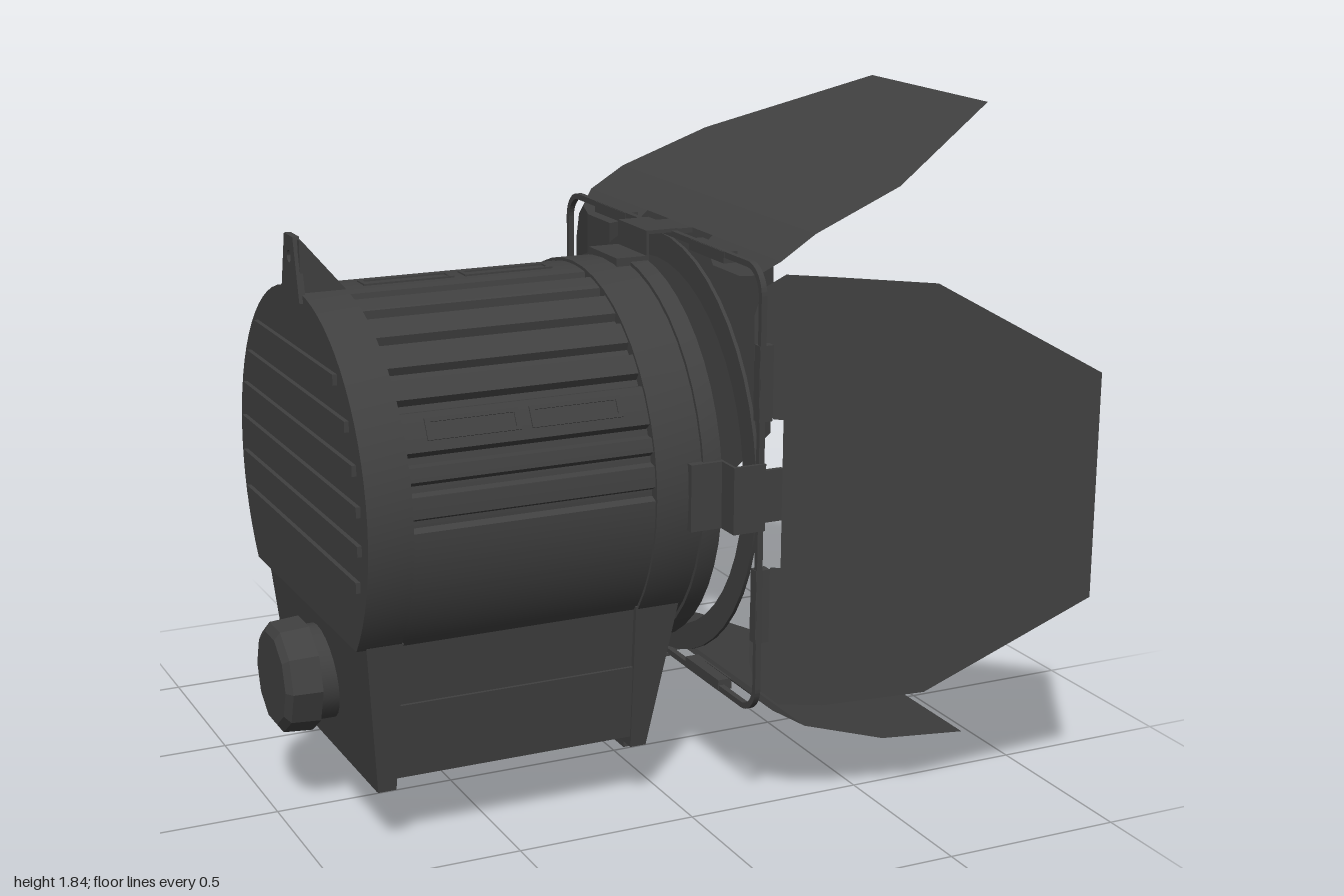
import * as THREE from 'three';
import { mergeGeometries, toCreasedNormals } from 'three/addons/utils/BufferGeometryUtils.js';

const rad = THREE.MathUtils.degToRad;
const dark = new THREE.MeshStandardMaterial({ color: 0x404040 });
const sheet = new THREE.MeshStandardMaterial({ color: 0x404040, side: THREE.DoubleSide });

function add(parent, name, geometry, material = dark) {
  const mesh = new THREE.Mesh(geometry, material);
  mesh.name = name;
  parent.add(mesh);
  return mesh;
}
// Box given by its limits on each axis
function span(x0, x1, y0, y1, z0, z1) {
  return new THREE.BoxGeometry(x1 - x0, y1 - y0, z1 - z0)
    .translate((x0 + x1) / 2, (y0 + y1) / 2, (z0 + z1) / 2);
}
const polygon = pts => new THREE.Shape(pts.map(p => new THREE.Vector2(p[0], p[1])));
const flatExtrude = (shape, depth) =>
  new THREE.ExtrudeGeometry(shape, { depth, bevelEnabled: false, curveSegments: 24 });
// Extrude a (z, y) cross-section along x
const alongX = (shape, x0, x1) =>
  toCreasedNormals(flatExtrude(shape, x1 - x0).rotateY(Math.PI / 2).translate(x0, 0, 0), 0.4);
// Turn a (radius, x) profile about the x axis
const turned = pts =>
  toCreasedNormals(new THREE.LatheGeometry(pts.map(p => new THREE.Vector2(p[0], p[1])), 48)
    .rotateZ(-Math.PI / 2), 0.5);

function roundedSquare(target, h, r) {
  target.moveTo(-h + r, -h);
  target.lineTo(h - r, -h).absarc(h - r, -h + r, r, -Math.PI / 2, 0);
  target.lineTo(h, h - r).absarc(h - r, h - r, r, 0, Math.PI / 2);
  target.lineTo(-h + r, h).absarc(-h + r, h - r, r, Math.PI / 2, Math.PI);
  target.lineTo(-h, -h + r).absarc(-h + r, -h + r, r, Math.PI, Math.PI * 1.5);
  return target;
}

// Folded sheet leaf: flat outlines in (x, width), lifted by a fold profile
function doorGeometry(tip) {
  const fold = [[0.14, 0.555], [0.2, 0.608], [0.3, 0.67], [0.98, tip]];
  const lift = x => {
    let i = 0;
    while (i < 2 && x > fold[i + 1][0] + 1e-5) i++;
    const [a, b] = [fold[i], fold[i + 1]];
    return a[1] + (b[1] - a[1]) * (x - a[0]) / (b[0] - a[0]);
  };
  const tab = s => polygon([[0.2, 0.2 * s], [0.2, 0.58 * s], [0.155, 0.54 * s],
    [0.14, 0.47 * s], [0.14, 0.32 * s], [0.18, 0.2 * s]]);
  const outlines = [
    tab(1), tab(-1),
    polygon([[0.2, -0.58], [0.3, -0.577], [0.3, 0.577], [0.2, 0.58]]),
    polygon([[0.3, -0.577], [0.56, -0.553], [0.98, -0.306], [0.98, 0.306], [0.56, 0.553], [0.3, 0.577]]),
  ];
  const parts = outlines.map(o => {
    const g = new THREE.ShapeGeometry(o), p = g.attributes.position;
    for (let i = 0; i < p.count; i++) p.setXYZ(i, p.getX(i), lift(p.getX(i)), p.getY(i));
    g.computeVertexNormals();
    return g;
  });
  return mergeGeometries(parts);
}

function buildHousing(head) {
  // Grooved barrel
  const grooves = [11, 22, 34, 45, 55, 70, 78, 88];
  const pts = [];
  for (let d = 0; d < 360; d++) {
    const fromTop = Math.abs(((d - 90 + 540) % 360) - 180);
    const r = grooves.some(g => Math.abs(g - fromTop) <= 1) ? 0.5 : 0.521;
    pts.push([r * Math.cos(rad(d)), r * Math.sin(rad(d))]);
  }
  add(head, 'barrel', alongX(polygon(pts), -0.79, -0.11));

  // Vent frames on the top and both upper flanks
  for (const angle of [0, 62, -62]) for (const x of [-0.72, -0.44]) {
    const frame = polygon([[x, -0.028], [x + 0.25, -0.028], [x + 0.25, 0.028], [x, 0.028]]);
    frame.holes.push(polygon([[x + 0.012, -0.018], [x + 0.012, 0.018], [x + 0.238, 0.018], [x + 0.238, -0.018]]));
    add(head, 'ventFrame', flatExtrude(frame, 0.02).rotateX(-Math.PI / 2)
      .translate(0, 0.505, 0).rotateX(rad(angle)));
  }

  // Rear cap, cut flat where it meets the base
  const cap = new THREE.Shape();
  const cut = Math.asin(-0.325 / 0.526);
  cap.absarc(0, 0, 0.526, cut, Math.PI - cut, false);
  add(head, 'rearCap', alongX(cap, -0.9, -0.78));
  for (const y of [0.36, 0.26, 0.16, 0.06, -0.04, -0.14]) {
    const w = Math.sqrt(0.5 ** 2 - y * y) - 0.02;
    add(head, 'rearRib', span(-0.912, -0.89, y - 0.014, y + 0.014, -w, w));
  }

  // Front housing with collar, lip and recessed lens
  add(head, 'frontHousing', turned([[0.5, -0.12], [0.53, -0.12], [0.53, 0.01], [0.54, 0.01],
    [0.54, 0.062], [0.515, 0.062], [0.47, 0.045], [0.47, 0.025], [0, 0.025]]), sheet);

  // Hanging lug with gussets
  const lug = polygon([[-0.075, 0.5], [0.075, 0.5], [0.035, 0.665], [-0.035, 0.665]]);
  lug.holes.push(new THREE.Path().absarc(0, 0.61, 0.016, 0, Math.PI * 2, true));
  add(head, 'hangingLug', alongX(lug, -0.91, -0.892));
  for (const z of [-0.05, 0.05]) {
    const gusset = polygon([[-0.9, 0.5], [-0.78, 0.5], [-0.78, 0.525], [-0.895, 0.66], [-0.9, 0.66]]);
    add(head, 'lugGusset', flatExtrude(gusset, 0.014).translate(0, 0, z - 0.007));
  }
}

function buildBarnDoors(head) {
  // Round ring and rounded square wire frame
  const ring = new THREE.Shape().absarc(0, 0, 0.59, 0, Math.PI * 2, false);
  ring.holes.push(new THREE.Path().absarc(0, 0, 0.518, 0, Math.PI * 2, true));
  add(head, 'accessoryRing', alongX(ring, 0.134, 0.144));
  const frame = roundedSquare(new THREE.Shape(), 0.606, 0.08);
  frame.holes.push(roundedSquare(new THREE.Path(), 0.59, 0.065));
  add(head, 'doorFrame', alongX(frame, 0.132, 0.148));

  // Four sides: leaf, hinges and holding clip
  [['top', 0.93], ['left', 0.885], ['bottom', 0.907], ['right', 0.885]].forEach(([side, tip], i) => {
    const group = new THREE.Group();
    group.name = side + 'BarnDoor';
    group.rotation.x = i * Math.PI / 2;
    head.add(group);
    add(group, 'leaf', doorGeometry(tip), sheet);
    for (const s of [-1, 1]) {
      add(group, 'hinge', span(0.13, 0.17, 0.575, 0.605, s * 0.3 - 0.1, s * 0.3 + 0.1));
    }
    add(group, 'clipBlock', span(-0.03, 0.064, 0.49, 0.544, -0.09, 0.09));
    add(group, 'clipWall', span(0.058, 0.066, 0.5, 0.61, -0.09, 0.09));
    add(group, 'clipPlate', span(0.058, 0.15, 0.602, 0.612, -0.09, 0.09));
    add(group, 'clipTongue', span(0.14, 0.205, 0.592, 0.606, -0.07, 0.07));
  });
}

function buildBase(root) {
  const half = y => 0.355 + 0.13 * (y - 0.17);
  // Side outline in (x, y), narrowed towards the bottom
  const tapered = (pts, inset) => {
    const g = flatExtrude(polygon(pts), 2).translate(0, 0, -1);
    const p = g.attributes.position;
    for (let i = 0; i < p.count; i++) p.setZ(i, p.getZ(i) * (half(p.getY(i)) - inset));
    g.computeVertexNormals();
    return g;
  };
  add(root, 'baseBox', tapered([[-0.82, 0.2], [-0.09, 0.2], [-0.09, 0.6], [-0.82, 0.6]], 0.015));
  add(root, 'baseLowerPanel', tapered([[-0.8, 0.2], [-0.1, 0.2], [-0.1, 0.41], [-0.8, 0.41]], 0.006));
  add(root, 'rearBracket', tapered([[-0.835, 0.17], [-0.785, 0.17], [-0.775, 0.59], [-0.875, 0.59]], 0));
  add(root, 'frontBracket', tapered([[-0.115, 0.17], [-0.07, 0.17], [0, 0.59], [-0.125, 0.59]], 0));
  for (const x of [-0.805, -0.095]) {
    add(root, 'foot', span(x - 0.015, x + 0.015, 0.148, 0.18, -0.3, 0.3));
  }

  // Faceted focus knob
  const knob = new THREE.Group();
  knob.name = 'focusKnob';
  knob.position.set(0, 0.385, -0.01);
  root.add(knob);
  const disc = (r0, r1, x0, x1, n) => new THREE.CylinderGeometry(r1, r0, x1 - x0, n)
    .rotateZ(-Math.PI / 2).translate((x0 + x1) / 2, 0, 0);
  add(knob, 'knobGrip', toCreasedNormals(disc(0.148, 0.154, -0.985, -0.905, 10), 0.2));
  add(knob, 'knobFace', toCreasedNormals(disc(0.125, 0.148, -1, -0.985, 10), 0.2));
  add(knob, 'knobShaft', disc(0.13, 0.13, -0.91, -0.83, 24));
}

export function createModel() {
  const model = new THREE.Group();
  model.name = 'studioSpotlight';
  const head = new THREE.Group();
  head.name = 'lampHead';
  head.position.set(0, 0.91, -0.008);
  model.add(head);
  buildHousing(head);
  buildBarnDoors(head);
  buildBase(model);
  return model;
}
